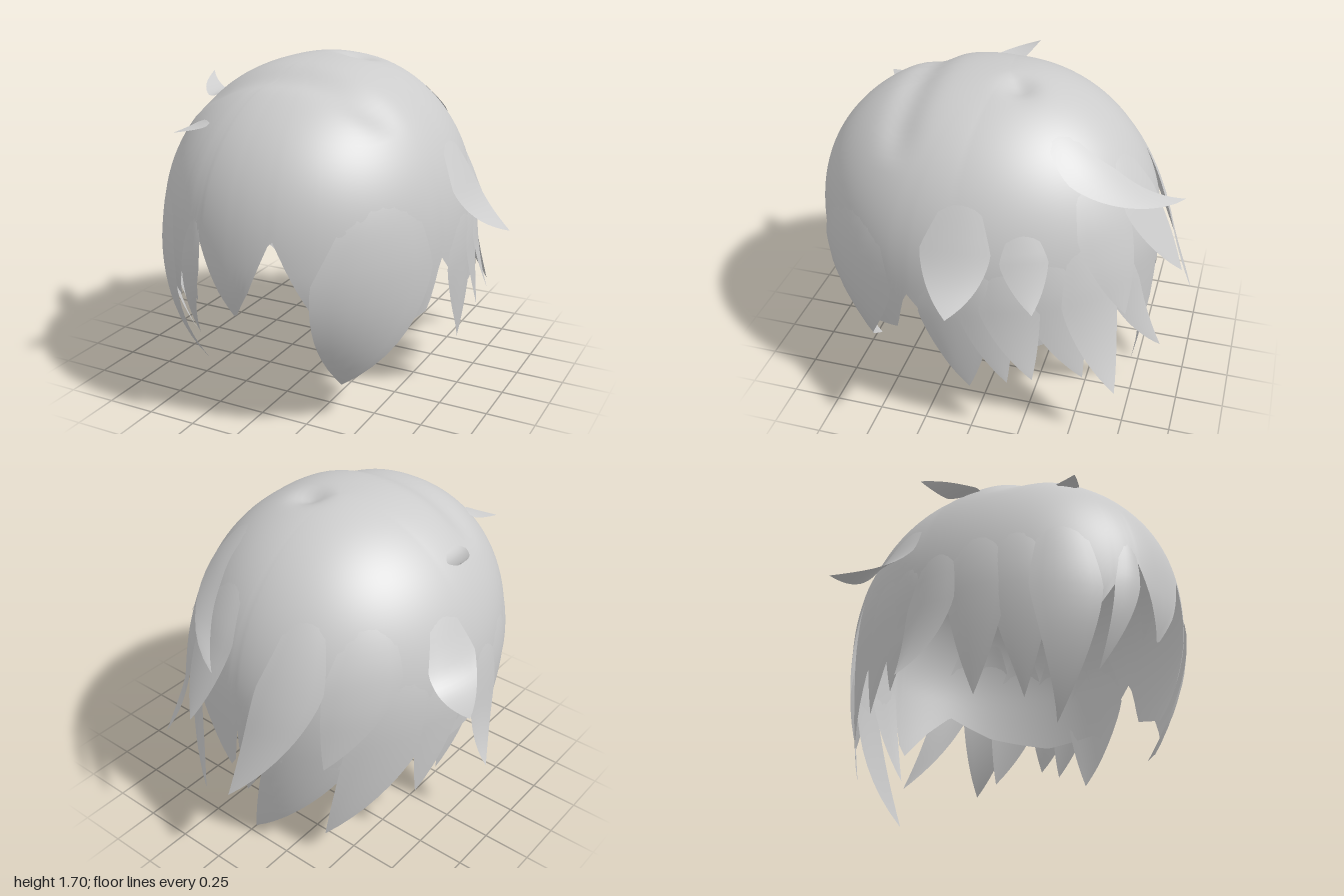
import * as THREE from 'three';
import { mergeVertices } from 'three/addons/utils/BufferGeometryUtils.js';

const RAD = Math.PI / 180, MID = 0.85, TOP = 1.7, HALF_X = 0.78;
const material = new THREE.MeshStandardMaterial({ color: 0xcccccc, side: THREE.DoubleSide });

// Horizontal scale of the head at a height; the fringe is fuller above and tucks in below
function scaleAt(a, y) {
  const front = Math.max(0, Math.cos(a));
  const u = Math.min(1, Math.abs(y - MID) / MID);
  if (y < MID) return 1 - (0.08 + 0.5 * front) * u * u;
  const p = 2.03 + 0.29 * front + 0.08 * Math.max(0, Math.sin(a));
  return Math.pow(1 - Math.pow(u, p), 1 / p);
}

// Point on the head surface, pushed out by the factor 1 + lift
function onHead(a, y, lift = 0) {
  const r = scaleAt(a, y) * (1 + lift);
  const x = HALF_X * r * Math.sin(a), z = 0.1 * Math.min(1, r) + 0.9 * r * Math.cos(a);
  const parting = 0.04 * Math.exp(-((x - 0.12) ** 2 + (z + 0.08) ** 2) / 0.006);
  const crease = 0.03 * Math.exp(-((z - 0.43) ** 2) / 0.008);
  return [x, y - (y > 1.4 ? parting + crease * Math.min(1, (y - 1.4) * 8) : 0), z];
}

// Smooth surface from a function of (u across, v down)
function sheet(name, cols, rows, f) {
  const pos = [], index = [], w = cols + 1;
  for (let i = 0; i <= rows; i++)
    for (let j = 0; j <= cols; j++) pos.push(...f(j / cols, i / rows));
  for (let i = 0; i < rows; i++)
    for (let j = 0; j < cols; j++) {
      const a = i * w + j;
      index.push(a, a + w, a + 1, a + 1, a + w, a + w + 1);
    }
  let g = new THREE.BufferGeometry();
  g.setAttribute('position', new THREE.Float32BufferAttribute(pos, 3));
  g.setIndex(index);
  g = mergeVertices(g, 1e-5);
  g.computeVertexNormals();
  const mesh = new THREE.Mesh(g, material);
  mesh.name = name;
  return mesh;
}

// Lower edge of the cap: [degrees from the front towards +x, height]
const HEM = [[-180, 0.74], [-173, 0.6], [-150, 0.6], [-120, 0.56], [-95, 0.62], [-80, 0.68],
  [-60, 0.6], [-34, 0.58], [-24, 0.8], [-19, 0.6], [-13.5, 0.95], [-6, 0.72], [-1, 0.59],
  [6, 0.75], [14.5, 1.02], [22, 0.8], [30, 0.58], [50, 0.46], [71, 0.56], [76, 0.82], [90, 0.58],
  [112, 0.54], [135, 0.62], [152, 0.74], [162, 0.62], [174, 0.44], [177, 0.5], [180, 0.74]];
function hem(deg) {
  let k = 1;
  while (k < HEM.length - 1 && HEM[k][0] < deg) k++;
  const [a, ya] = HEM[k - 1], [b, yb] = HEM[k];
  return ya + (yb - ya) * (deg - a) / (b - a);
}

// Tapered, arched lock: root angle and height, tip point, half width in degrees
function lock(name, [deg, y0, tip, half, { droop = 0, taper = 2.4 } = {}]) {
  const [x, y1, z] = tip, a0 = deg * RAD;
  let a1 = Math.atan2(x / HALF_X, (z - 0.1) / 0.9);
  a1 += 2 * Math.PI * Math.round((a0 - a1) / (2 * Math.PI));
  const lift1 = Math.hypot(x / HALF_X, (z - 0.1) / 0.9) / scaleAt(a1, y1) - 1;
  return sheet(name, 6, 18, (u, t) => {
    const s = u * 2 - 1;
    const width = half * RAD * (0.3 + 0.7 * Math.min(1, t * 2.2)) * (1 - Math.pow(t, taper));
    const a = a0 + (a1 - a0) * Math.pow(t, 1.9) + s * width;
    const y = y0 + (y1 - y0) * t - droop * 4 * t * (1 - t);
    const rise = Math.min(1, t * 2.5);
    const arch = (0.004 + 0.014 * (1 - s * s)) * rise * (1 - t) - 0.01 * (1 - rise);
    return onHead(a, y, arch + lift1 * Math.pow(t, 2.6));
  });
}

const LOCKS = {
  fringeLock: [
    [-17, 1.15, [-0.31, 0.4, 0.82], 6],
    [-41, 1.25, [-0.39, 0.165, 0.65], 14],
    [-56, 1.2, [-0.52, 0.27, 0.56], 12],
    [52, 1.3, [0.38, 0.19, 0.65], 23, { taper: 4 }],
  ],
  sideLock: [
    [91, 1.1, [0.74, 0.27, 0.01], 14],
    [100, 1.1, [0.77, 0.37, -0.2], 10],
    [108, 1.1, [0.78, 0.43, -0.33], 11],
    [122, 1.15, [0.62, 0.36, -0.55], 12],
    [-68, 1.2, [-0.67, 0.28, 0.38], 12],
    [-82, 1.15, [-0.9, 0.37, 0.1], 10, { droop: 0.06 }],
    [-94, 1.1, [-0.72, 0.4, -0.1], 10],
    [-104, 1.1, [-0.7, 0.33, -0.25], 11],
  ],
  backLock: [
    [-143, 1.2, [0, 0, -0.7], 20],
    [-118, 1.2, [-0.41, 0.13, -0.62], 18],
    [-168, 1.2, [0.02, 0.27, -0.73], 11],
    [146, 1.2, [0.18, 0.29, -0.88], 9],
    [135, 1.2, [0.65, 0.32, -0.72], 12],
  ],
  upperBackLock: [
    [-154, 1.5, [-0.1, 0.48, -0.99], 14],
    [164, 1.5, [0.17, 0.79, -0.95], 14],
    [143, 1.5, [0.46, 0.68, -0.72], 14],
    [-130, 1.45, [-0.45, 0.62, -0.68], 16],
  ],
  flick: [
    [93, 1.42, [1.0, 0.9, 0.03], 13, { droop: 0.07 }],
    [-100, 1.38, [-1.0, 0.97, -0.28], 12, { droop: 0.12 }],
    [114, 1.25, [0.8, 0.85, -0.33], 9],
    [135, 1.64, [0.02, 1.12, -0.92], 14, { droop: 0.03 }],
    [-76, 1.5, [-0.7, 1.55, 0.03], 9, { droop: 0.05 }],
    [-32, 1.45, [-0.43, 1.4, 0.8], 6],
  ],
};

export function createModel() {
  const group = new THREE.Group();
  group.name = 'hair';

  // Domed cap of hair, open below
  group.add(sheet('hairCap', 240, 36, (u, v) => {
    const deg = u * 360 - 180;
    return onHead(deg * RAD, TOP - (TOP - hem(deg)) * v * v);
  }));

  // Locks layered over the cap and past its edge
  for (const [name, list] of Object.entries(LOCKS))
    list.forEach((spec) => group.add(lock(name, spec)));

  return group;
}
